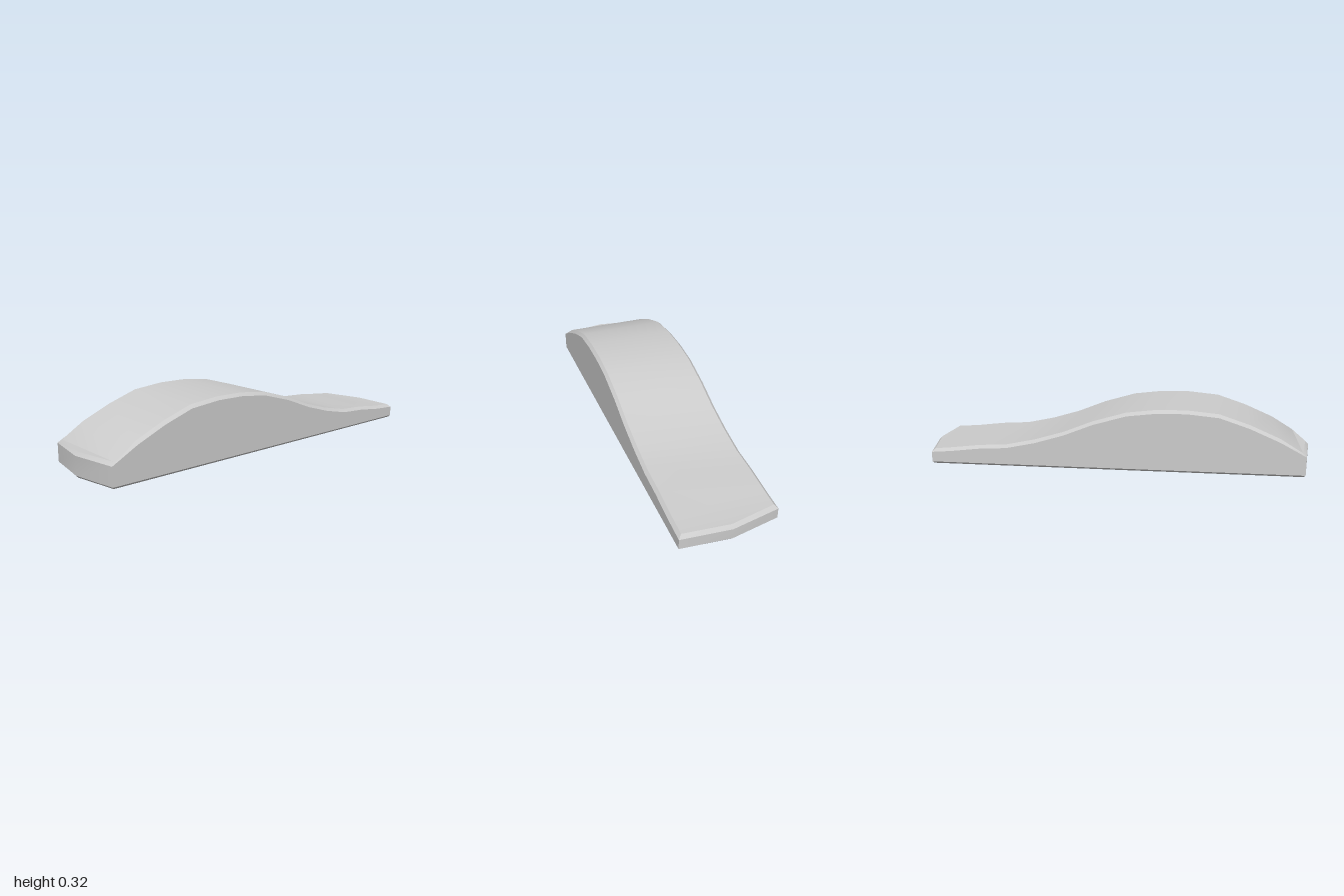
import * as THREE from 'three';
import { toCreasedNormals } from 'three/addons/utils/BufferGeometryUtils.js';

// crest line along the length: [x, height]
const PROFILE = [
  [-0.96, 0.12], [-0.83, 0.19], [-0.68, 0.255], [-0.53, 0.305], [-0.37, 0.32],
  [-0.22, 0.318], [-0.07, 0.3], [0.1, 0.25], [0.25, 0.19], [0.4, 0.145],
  [0.55, 0.113], [0.7, 0.104], [0.85, 0.086], [0.98, 0.078],
];
const HALF_DEPTH = 0.245;
const BACK_RIGHT_X = 0.95; // the right end is slightly skewed

// one plan outline, pulled in by `inset`, with its height given by y(crest height)
function makeLoop(inset, y) {
  const last = PROFILE.length - 1;
  const side = (z, endX) => PROFILE.map(([x, h], i) => {
    if (i === 0) x += inset;
    if (i === last) x = endX - inset;
    return [x, y(h), z];
  });
  const z = HALF_DEPTH - inset;
  return [
    ...side(z, PROFILE[last][0]),
    [1 - inset, y(PROFILE[last][1]), 0],
    ...side(-z, BACK_RIGHT_X).reverse(),
    [-1 + inset, y(PROFILE[0][1]), 0],
  ];
}

function makeBodyGeometry() {
  const loops = [
    makeLoop(0.009, () => 0),
    makeLoop(0, () => 0.01),
    makeLoop(0, (h) => h - 0.016),
    makeLoop(0.016, (h) => h),
  ];
  const n = PROFILE.length;
  const count = loops[0].length;
  const index = [];
  const quad = (a, b, c, d) => index.push(a, b, c, a, c, d);

  // walls and bevels between neighbouring loops
  for (let k = 0; k < loops.length - 1; k++) {
    for (let i = 0; i < count; i++) {
      const j = (i + 1) % count;
      quad(k * count + i, k * count + j, (k + 1) * count + j, (k + 1) * count + i);
    }
  }

  // underside and curved top, as strips from front to back with pointed ends
  const cap = (base, up) => {
    const start = index.length;
    const back = (i) => base + 2 * n - i;
    for (let i = 0; i < n - 1; i++) quad(base + i, base + i + 1, back(i + 1), back(i));
    index.push(base, back(0), base + 2 * n + 1);
    index.push(base + n - 1, base + n, back(n - 1));
    if (!up) index.push(...index.splice(start).reverse());
  };
  cap(0, false);
  cap((loops.length - 1) * count, true);

  const geometry = new THREE.BufferGeometry();
  geometry.setAttribute('position', new THREE.Float32BufferAttribute(loops.flat(2), 3));
  geometry.setIndex(index);
  return toCreasedNormals(geometry, 0.35);
}

export function createModel() {
  const group = new THREE.Group();
  group.name = 'contouredBlock';
  const body = new THREE.Mesh(
    makeBodyGeometry(),
    new THREE.MeshStandardMaterial({ color: 0xcccccc }),
  );
  body.name = 'body';
  group.add(body);
  return group;
}
